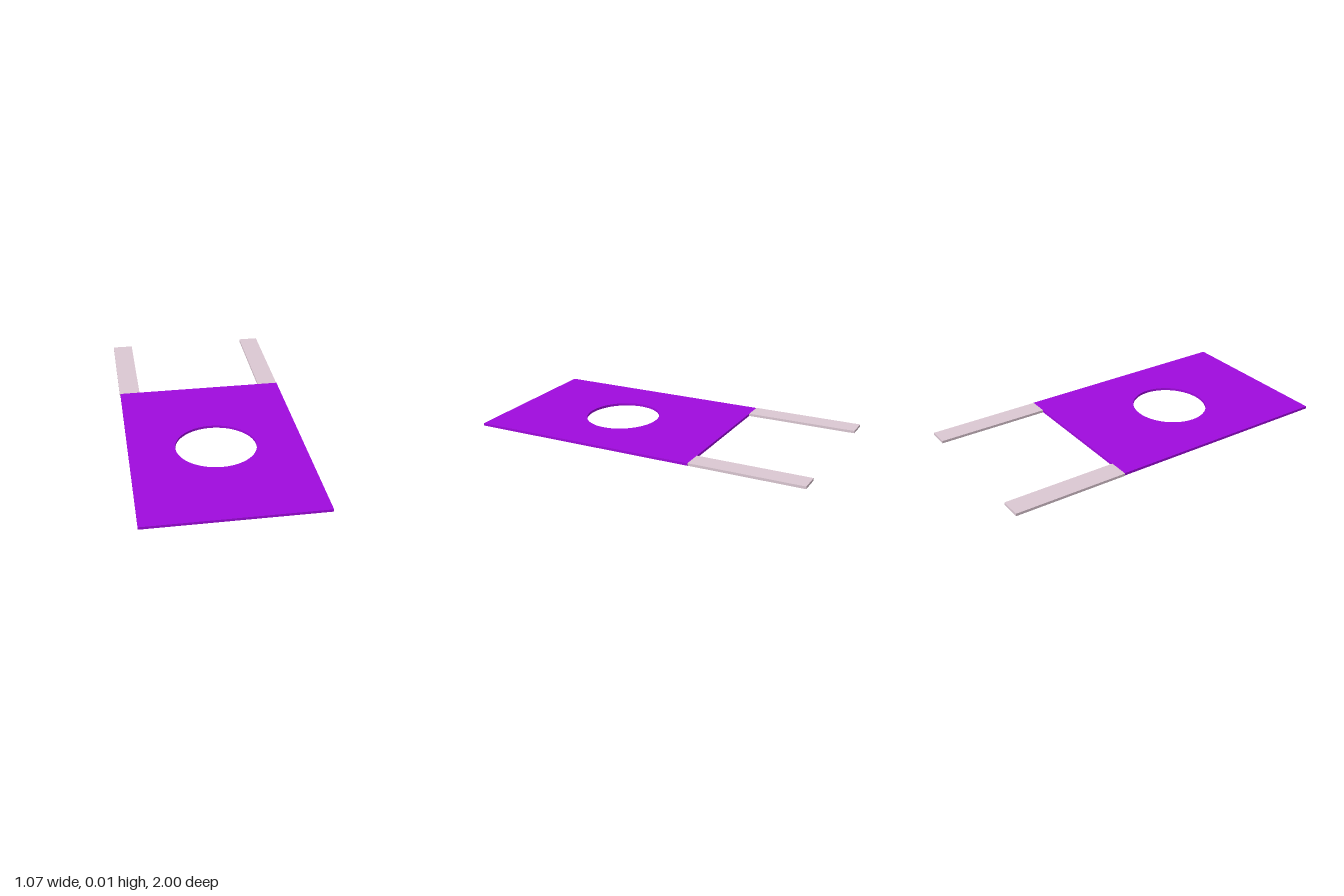
import * as THREE from 'three';

const THICK = 0.014;
const WIDTH = 0.961;
const LENGTH = 1.308;

export function createModel() {
  const model = new THREE.Group();
  model.name = 'plateWithArms';

  // Everything shares one slightly turned frame centred on the plate
  const body = new THREE.Group();
  body.name = 'body';
  body.position.set(0.0175, 0, 0.317);
  body.rotation.y = 0.0565;
  model.add(body);

  // Rectangular plate with an oval opening
  const outline = new THREE.Shape();
  outline.moveTo(-WIDTH / 2, -LENGTH / 2);
  outline.lineTo(WIDTH / 2, -LENGTH / 2);
  outline.lineTo(WIDTH / 2, LENGTH / 2);
  outline.lineTo(-WIDTH / 2, LENGTH / 2);
  outline.closePath();
  const opening = new THREE.Path();
  opening.absellipse(0, 0, 0.2235, 0.2095, 0, Math.PI * 2, true);
  outline.holes.push(opening);
  const plateGeometry = new THREE.ExtrudeGeometry(outline, {
    depth: THICK, bevelEnabled: false, curveSegments: 48,
  });
  plateGeometry.rotateX(-Math.PI / 2);
  const plate = new THREE.Mesh(plateGeometry, new THREE.MeshStandardMaterial({ color: 0xa00ade }));
  plate.name = 'plate';
  body.add(plate);

  // Two flat arms reaching back from the rear corners
  const armMaterial = new THREE.MeshStandardMaterial({ color: 0xdcc8d3 });
  const armLength = 0.639;
  const arms = [['rightArm', -0.484, -0.365], ['leftArm', 0.365, 0.479]];
  for (const [name, x0, x1] of arms) {
    const arm = new THREE.Mesh(new THREE.BoxGeometry(x1 - x0, THICK, armLength), armMaterial);
    arm.name = name;
    arm.position.set((x0 + x1) / 2, THICK / 2, -LENGTH / 2 - armLength / 2);
    body.add(arm);
  }
  return model;
}
